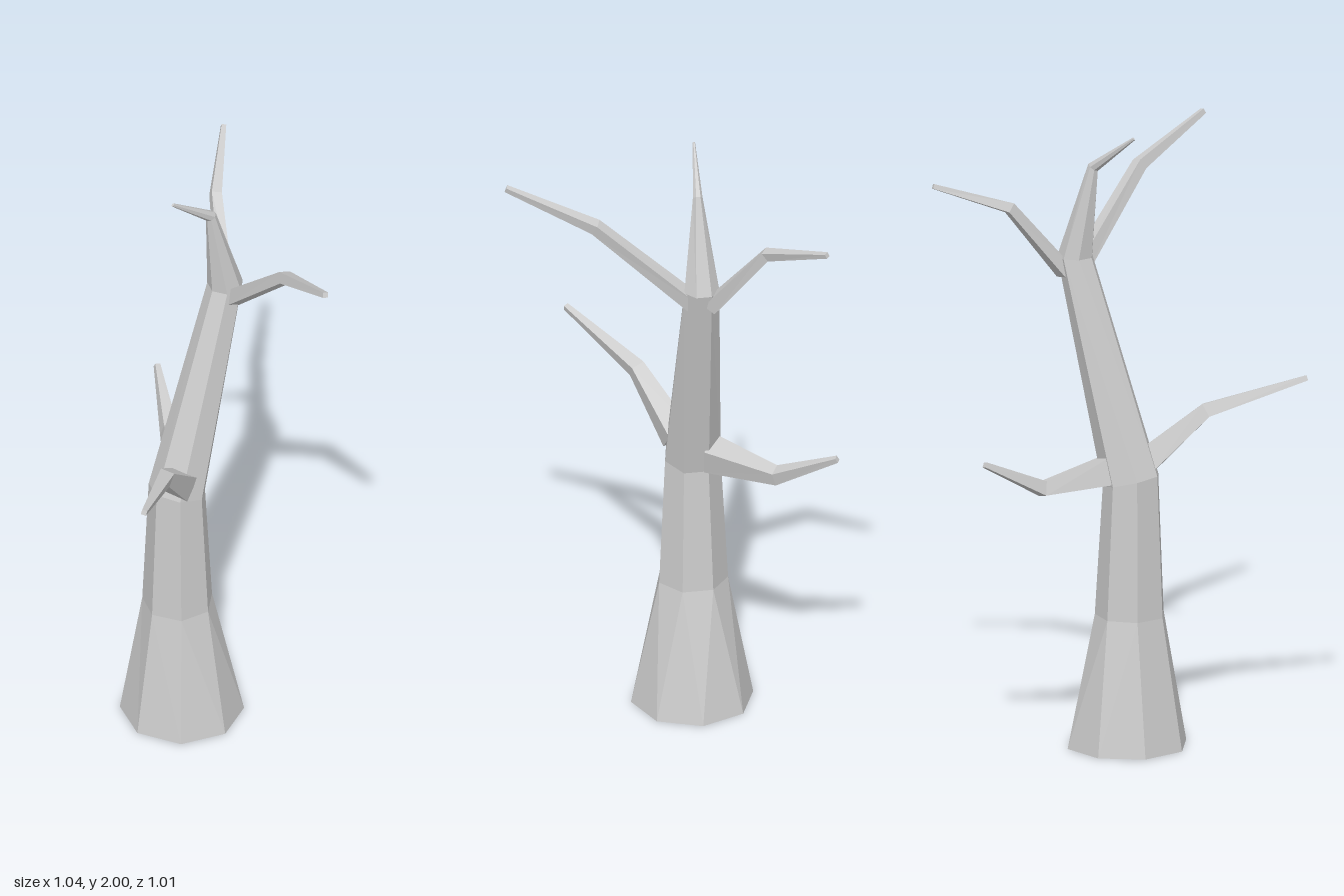
import * as THREE from 'three';

const material = new THREE.MeshStandardMaterial({ color: 0xcccccc, flatShading: true });

// Skin a list of closed rings; neighbouring rings may differ in point count.
function loft(name, rings) {
  const pos = [];
  const tri = (...pts) => pts.forEach((p) => pos.push(p.x, p.y, p.z));
  for (let r = 0; r < rings.length - 1; r++) {
    const a = rings[r], b = rings[r + 1];
    let i = 0, j = 0;
    while (i < a.length || j < b.length) {
      const p = a[i % a.length], q = b[j % b.length];
      if ((i + 1) / a.length <= (j + 1) / b.length) tri(p, a[++i % a.length], q);
      else tri(p, b[++j % b.length], q);
    }
  }
  // end caps
  const first = rings[0], last = rings[rings.length - 1];
  for (let k = 1; k < first.length - 1; k++) tri(first[0], first[k + 1], first[k]);
  for (let k = 1; k < last.length - 1; k++) tri(last[0], last[k], last[k + 1]);
  const geo = new THREE.BufferGeometry();
  geo.setAttribute('position', new THREE.Float32BufferAttribute(pos, 3));
  geo.computeVertexNormals();
  const mesh = new THREE.Mesh(geo, material);
  mesh.name = name;
  return mesh;
}

// Trunk ring with one corner facing front; slope tilts it along z.
function trunkRing(sides, x, y, z, radius, slope = 0) {
  return Array.from({ length: sides }, (_, k) => {
    const t = (k / sides) * Math.PI * 2;
    const dz = Math.cos(t) * radius;
    return new THREE.Vector3(x + Math.sin(t) * radius, y + slope * dz, z + dz);
  });
}

// Four-sided tapering limb through a few points, slightly rolled.
function branch(name, points, widths, roll) {
  const p = points.map((c) => new THREE.Vector3(...c));
  // sink the root into the trunk
  p[0].addScaledVector(p[1].clone().sub(p[0]).normalize(), -0.025);
  const up = new THREE.Vector3(0, 1, 0);
  const rings = p.map((c, i) => {
    const d = new THREE.Vector3();
    if (i > 0) d.add(c.clone().sub(p[i - 1]).normalize());
    if (i < p.length - 1) d.add(p[i + 1].clone().sub(c).normalize());
    d.normalize();
    const u = d.clone().cross(up).normalize();
    const v = d.clone().cross(u);
    return [0, 1, 2, 3].map((k) => {
      const t = Math.PI / 4 + (k * Math.PI) / 2 + roll;
      const r = widths[i] * Math.SQRT1_2;
      return c.clone().addScaledVector(u, Math.cos(t) * r).addScaledVector(v, Math.sin(t) * r);
    });
  });
  return loft(name, rings);
}

export function createModel() {
  const tree = new THREE.Group();
  tree.name = 'bareTree';

  // flared eight-sided foot, seven-sided stem, hooked tip
  tree.add(loft('trunk', [
    trunkRing(8, -0.095, 0, 0.015, 0.197),
    trunkRing(7, -0.098, 0.43, 0.03, 0.114),
    trunkRing(7, -0.097, 0.87, 0.033, 0.092, 0.25),
    trunkRing(7, -0.09, 1.58, -0.172, 0.058),
    trunkRing(7, -0.09, 1.88, -0.108, 0.016, -0.7),
    trunkRing(7, -0.106, 1.995, 0.045, 0.004, -1),
  ]));

  // branches
  tree.add(branch('upperLeftBranch',
    [[-0.06, 1.54, -0.17], [0.24, 1.81, -0.115], [0.513, 1.93, -0.03]], [0.048, 0.037, 0.017], -0.25));
  tree.add(branch('upperRightBranch',
    [[-0.13, 1.55, -0.205], [-0.277, 1.765, -0.31], [-0.437, 1.85, -0.5]], [0.044, 0.033, 0.015], 0.25));
  tree.add(branch('lowerRightBranch',
    [[-0.165, 0.9, -0.045], [-0.335, 0.875, -0.16], [-0.51, 0.98, -0.277]], [0.09, 0.046, 0.017], 0.25));
  tree.add(branch('lowerLeftBranch',
    [[-0.045, 0.94, 0.075], [0.045, 1.09, 0.225], [0.225, 1.187, 0.493]], [0.082, 0.046, 0.017], -0.25));

  return tree;
}
